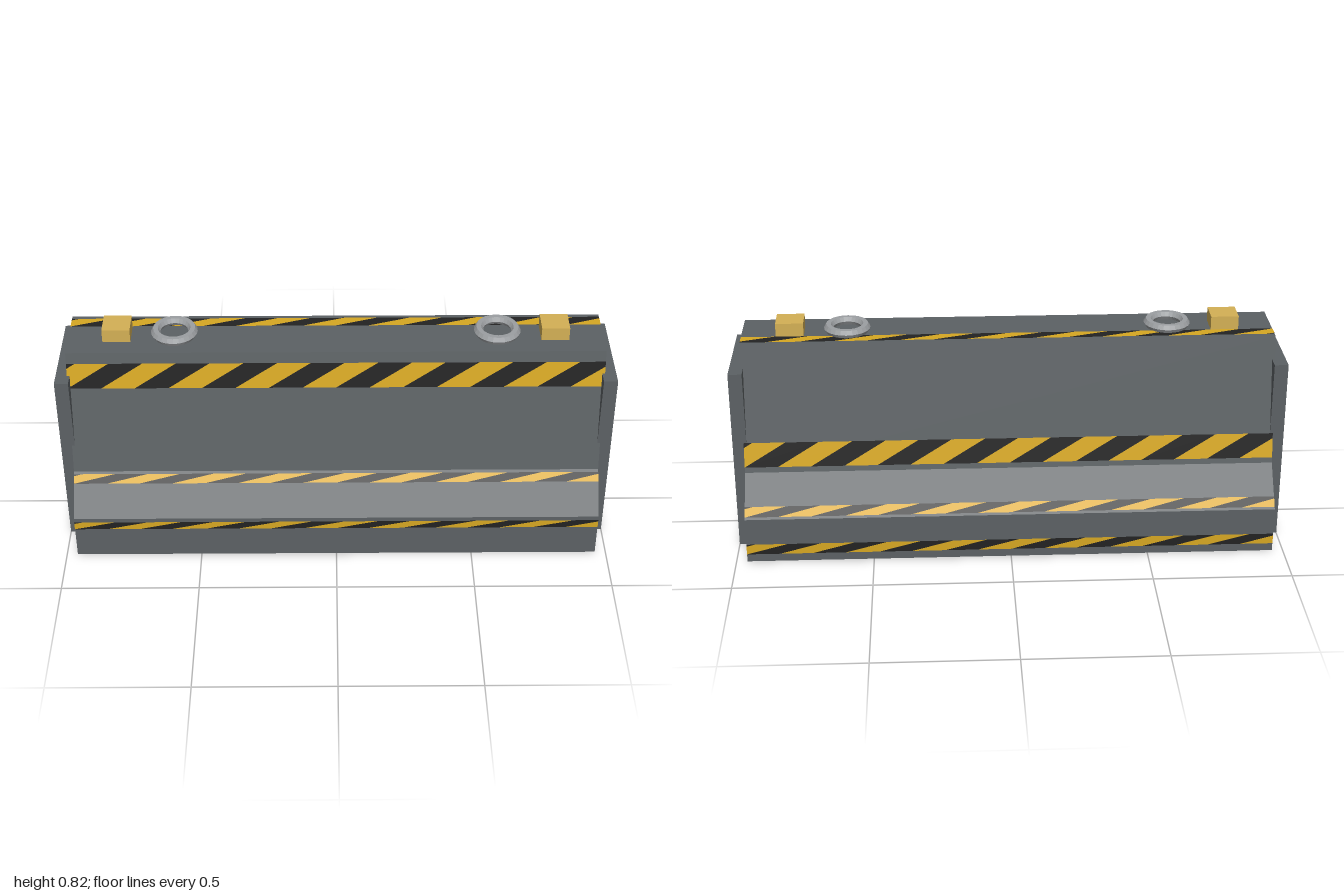
import * as THREE from 'three';

const mat = (name, color, extra = {}) => {
  const m = new THREE.MeshStandardMaterial({ color, ...extra });
  m.name = name;
  return m;
};

const HALF = 0.96; // half length of the concrete body

// Keep the part of a convex polygon with sign * x <= HALF
function clip(poly, sign) {
  const out = [];
  poly.forEach((a, i) => {
    const b = poly[(i + 1) % poly.length];
    const da = HALF - sign * a[0], db = HALF - sign * b[0];
    if (da >= 0) out.push(a);
    if (da * db < 0) {
      const t = da / (da - db);
      out.push([a[0] + (b[0] - a[0]) * t, a[1] + (b[1] - a[1]) * t]);
    }
  });
  return out;
}

// Slanted stripes on a band from edge a to edge b, both [z, y]; side is the x direction to the right
function stripeGeometry(a, b, side, first) {
  const period = 0.24, slant = 0.15, pos = [];
  const dz = b[0] - a[0], dy = b[1] - a[1], len = Math.hypot(dz, dy);
  const nz = (side * dy) / len * 0.002, ny = (-side * dz) / len * 0.002;
  const put = ([u, t]) => pos.push(side * u, a[1] + dy * t + ny, a[0] + dz * t + nz);
  for (let i = -1; i < 9; i++) {
    const x0 = -HALF + (i + first) * period, x1 = x0 + period / 2;
    const quad = [[x0, 0], [x1, 0], [x1 + slant, 1], [x0 + slant, 1]];
    const p = clip(clip(quad, 1), -1);
    for (let k = 1; k + 1 < p.length; k++) [p[0], p[k], p[k + 1]].forEach(put);
  }
  const g = new THREE.BufferGeometry();
  g.setAttribute('position', new THREE.Float32BufferAttribute(pos, 3));
  g.computeVertexNormals();
  return g;
}

export function createModel() {
  const group = new THREE.Group();
  const concrete = mat('concrete grey', 0x5c6164);
  const yellow = mat('warning yellow', 0xd6a722);
  const black = mat('warning black', 0x222222);
  const lamp = mat('lamp amber', 0xd4b055);
  const steel = mat('steel', 0x9c9fa2, { flatShading: true });

  const add = (name, geo, material, x = 0, y = 0, z = 0, parent = group) => {
    const m = new THREE.Mesh(geo, material);
    m.name = name;
    m.position.set(x, y, z);
    parent.add(m);
    return m;
  };

  // Concrete body: tapered profile extruded along x
  const half = [[0.315, 0], [0.315, 0.17], [0.205, 0.305], [0.117, 0.77]];
  const outline = [...half, ...half.map(([z, y]) => [-z, y]).reverse()];
  const profile = new THREE.Shape(outline.map(([z, y]) => new THREE.Vector2(z, y)));
  const body = new THREE.ExtrudeGeometry(profile, { depth: HALF * 2, bevelEnabled: false });
  body.translate(0, 0, -HALF).rotateY(Math.PI / 2);
  add('barrierBody', body, concrete);

  // z of the sloping sides at a given height
  const upper = (y) => 0.205 - (y - 0.305) * (0.088 / 0.465);
  const lower = (y) => 0.315 - (y - 0.17) * (0.11 / 0.135);

  // Painted warning bands: name, lower edge, upper edge, side
  const bands = [
    ['frontTopBand', [upper(0.635), 0.635], [upper(0.73), 0.73], 1],
    ['frontSlopeBand', [lower(0.27), 0.27], [lower(0.297), 0.297], 1],
    ['frontFootBand', [0.315, 0.123], [0.315, 0.155], 1],
    ['topBand', [-0.05, 0.77], [-0.1, 0.77], 1],
    ['backWideBand', [-upper(0.325), 0.325], [-upper(0.415), 0.415], -1],
    ['backSlopeBand', [-lower(0.177), 0.177], [-lower(0.207), 0.207], -1],
    ['backFootBand', [-0.315, 0.03], [-0.315, 0.07], -1],
    ['bottomBand', [0.295, 0], [0.2, 0], -1],
  ];
  for (const [name, a, b, side] of bands) {
    add(name + 'Yellow', stripeGeometry(a, b, side, 0.5), yellow);
    add(name + 'Black', stripeGeometry(a, b, side, 0), black);
  }

  // Paint patches on the end faces, as [across, y] seen from outside
  const patches = [
    [yellow, [[-0.28, 0.005], [-0.26, 0.005], [-0.195, 0.09], [-0.23, 0.09], [-0.28, 0.04]]],
    [black, [[-0.26, 0.003], [-0.225, 0.003], [-0.185, 0.05], [-0.185, 0.085], [-0.195, 0.09]]],
    [yellow, [[-0.225, 0.003], [-0.185, 0.003], [-0.185, 0.05]]],
    [yellow, [[-0.314, 0.147], [-0.3, 0.147], [-0.277, 0.18], [-0.306, 0.18], [-0.314, 0.17]]],
    [yellow, [[0.25, 0.073], [0.295, 0.025], [0.314, 0.025], [0.314, 0.045], [0.27, 0.07]]],
    [yellow, [[0.265, 0.213], [0.285, 0.19], [0.297, 0.192], [0.278, 0.213]]],
    [yellow, [[0.186, 0.4], [0.186, 0.34], [0.195, 0.33], [0.193, 0.365]]],
    [yellow, [[-0.13, 0.69], [-0.1, 0.69], [-0.103, 0.715], [-0.12, 0.737]]],
    [black, [[-0.124, 0.69], [-0.113, 0.69], [-0.117, 0.72]], 0.001],
    [yellow, [[0.07, 0.69], [0.1, 0.69], [0.1, 0.768], [0.06, 0.768], [0.06, 0.73]]],
    [black, [[0.074, 0.69], [0.085, 0.69], [0.093, 0.768], [0.083, 0.768]], 0.001],
  ];

  for (const s of [1, -1]) {
    const end = new THREE.Group();
    end.name = s > 0 ? 'leftEndPaint' : 'rightEndPaint';
    end.rotation.y = (s * Math.PI) / 2;
    group.add(end);
    for (const [m, pts, lift = 0] of patches) {
      const shape = new THREE.Shape(pts.map((p) => new THREE.Vector2(...p)));
      add('paintPatch', new THREE.ShapeGeometry(shape), m, 0, 0, HALF + 0.002 + lift, end);
    }

    // End plate, amber lamp block and lifting ring
    add('endPlate', new THREE.BoxGeometry(0.05, 0.685, 0.37), concrete, s * 0.975, 0.3425);
    add('lampBlock', new THREE.BoxGeometry(0.1, 0.05, 0.095), lamp, s * 0.785, 0.795);
    const ring = new THREE.TorusGeometry(0.067, 0.017, 6, 24);
    ring.rotateX(Math.PI / 2);
    add('liftingRing', ring, steel, s * 0.58, 0.785);
  }
  return group;
}
